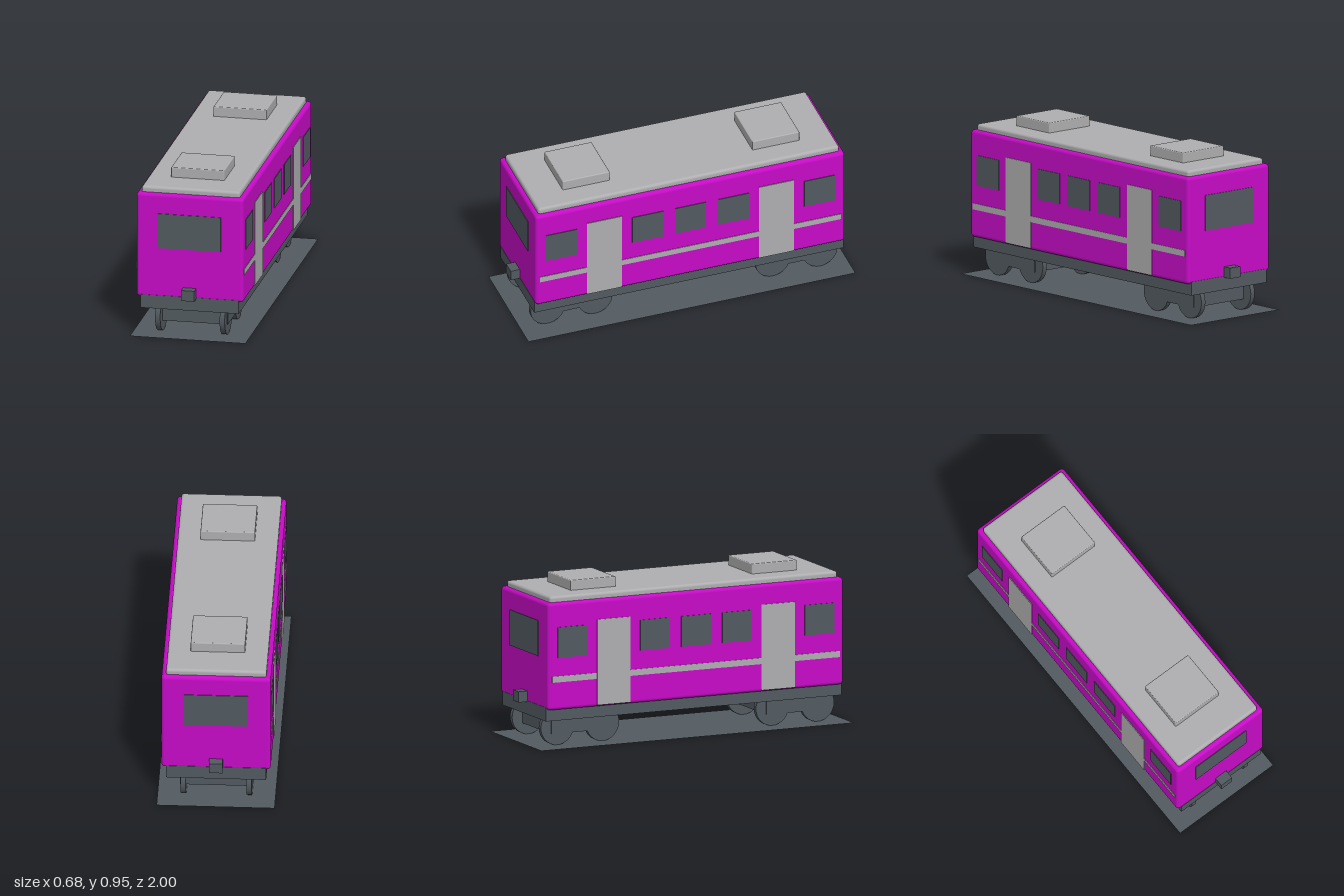
import * as THREE from 'three';
import { RoundedBoxGeometry } from 'three/addons/geometries/RoundedBoxGeometry.js';

export function createModel() {
  const model = new THREE.Group();
  model.name = 'railCar';

  const material = (name, color) => {
    const m = new THREE.MeshStandardMaterial({ color });
    m.name = name;
    return m;
  };
  const magenta = material('magenta', 0xc60bc6);
  const lightGrey = material('lightGrey', 0xaeaeb0);
  const slate = material('slate', 0x525a60);

  const add = (name, geometry, mat, x, y, z) => {
    const mesh = new THREE.Mesh(geometry, mat);
    mesh.name = name;
    mesh.position.set(x, y, z);
    model.add(mesh);
    return mesh;
  };
  const box = (name, mat, w, h, d, x, y, z) =>
    add(name, new THREE.BoxGeometry(w, h, d), mat, x, y, z);
  const rounded = (name, mat, w, h, d, r, x, y, z) =>
    add(name, new RoundedBoxGeometry(w, h, d, 4, r), mat, x, y, z);

  // Body shell, roof and underframe
  rounded('body', magenta, 0.63, 0.628, 1.89, 0.02, 0, 0.54, 0);
  rounded('roof', lightGrey, 0.578, 0.05, 1.84, 0.016, 0, 0.863, 0);
  box('underframe', slate, 0.578, 0.08, 1.892, 0, 0.2, 0);

  // Flat sheet beneath the wheels
  const sheet = slate.clone();
  sheet.side = THREE.DoubleSide;
  const ground = add('baseSheet', new THREE.PlaneGeometry(0.68, 2), sheet, 0, 0.001, 0);
  ground.rotation.x = -Math.PI / 2;

  const wheelGeometry = new THREE.CylinderGeometry(0.105, 0.105, 0.03, 32);
  wheelGeometry.rotateZ(Math.PI / 2);

  for (const end of [1, -1]) {
    // Roof units, end windows and couplers
    rounded('roofUnit', lightGrey, 0.314, 0.072, 0.288, 0.006, 0, 0.911, end * 0.58);
    box('endWindow', slate, 0.368, 0.208, 0.008, 0, 0.631, end * 0.945);
    box('coupler', slate, 0.078, 0.063, 0.08, 0, 0.265, end * 0.96);

    // Bogies with two wheel pairs each
    box('bogie', slate, 0.42, 0.1, 0.37, 0, 0.117, end * 0.688);
    for (const z of [0.833, 0.543]) {
      for (const side of [1, -1]) {
        add('wheel', wheelGeometry, slate, side * 0.19, 0.105, end * z);
      }
    }
  }

  // Side panels: doors, windows and waist stripe
  for (const side of [1, -1]) {
    const x = side * 0.315;
    for (const z of [0.526, -0.526]) {
      box('door', lightGrey, 0.008, 0.502, 0.214, x, 0.486, z);
    }
    for (const z of [0.79, 0.262, 0, -0.262, -0.79]) {
      box('sideWindow', slate, 0.008, 0.178, 0.19, x, 0.622, z);
    }
    box('waistStripe', lightGrey, 0.006, 0.036, 1.84, x, 0.407, 0);
  }

  return model;
}
